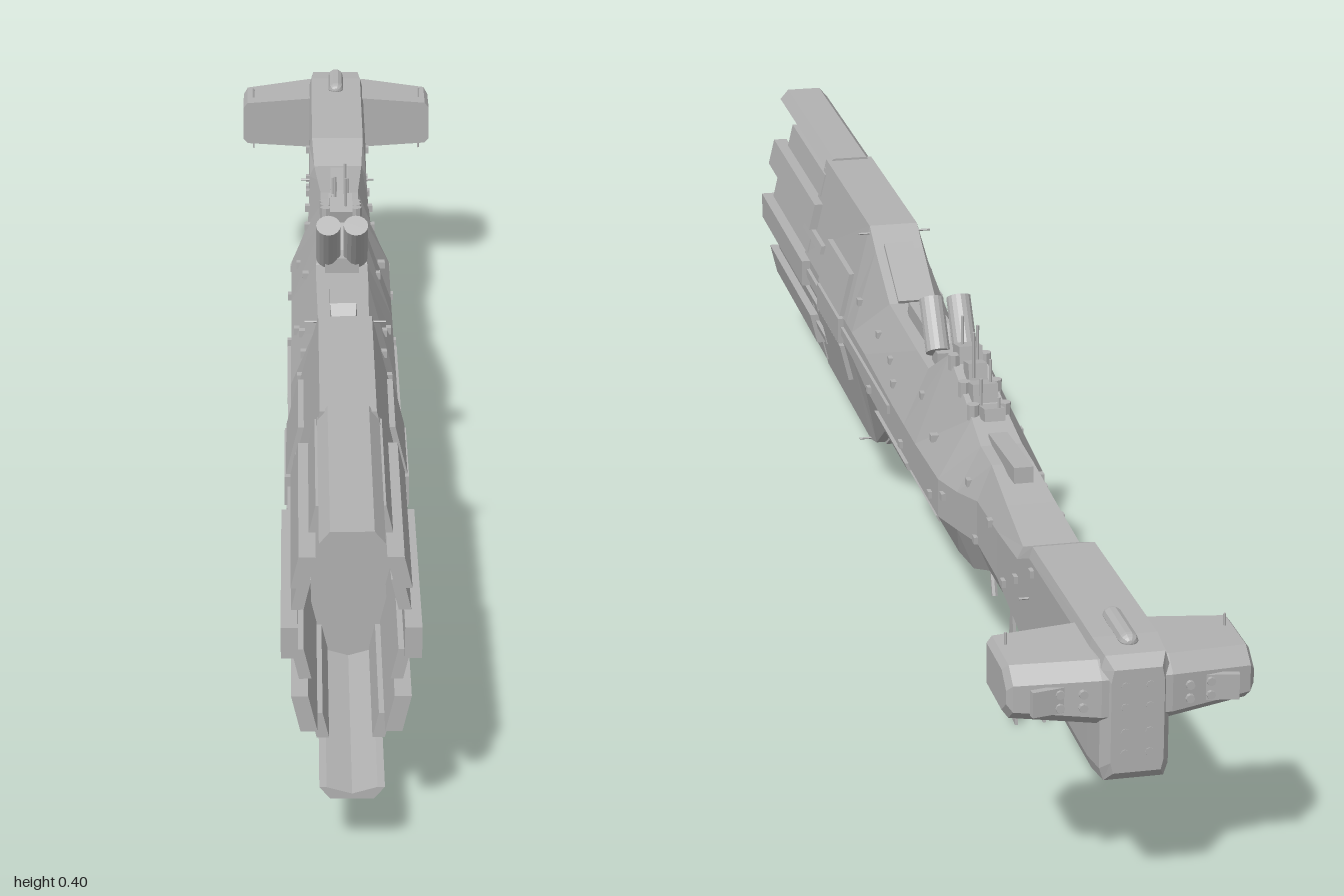
import * as THREE from 'three';

const grey = new THREE.MeshStandardMaterial({ color: 0xb2b2b2, flatShading: true });
grey.name = 'hullGrey';

// Hull stations: z, bottom y, top y, half widths (bottom, top, middle), flat side from / to
const STATIONS = [
  [0.64, 0.062, 0.375, 0.033, 0.033, 0.066, 0.2, 0.236],
  [0.32, 0.062, 0.375, 0.033, 0.033, 0.067, 0.2, 0.236],
  [0.28, 0.072, 0.352, 0.033, 0.033, 0.067, 0.2, 0.236],
  [0.19, 0.13, 0.305, 0.034, 0.032, 0.067, 0.19, 0.236],
  [0.0, 0.135, 0.305, 0.04, 0.034, 0.067, 0.185, 0.23],
  [-0.07, 0.135, 0.305, 0.04, 0.034, 0.067, 0.185, 0.23],
  [-0.14, 0.135, 0.348, 0.04, 0.022, 0.067, 0.185, 0.23],
  [-0.28, 0.135, 0.312, 0.04, 0.024, 0.067, 0.185, 0.235],
  [-0.34, 0.136, 0.298, 0.034, 0.026, 0.056, 0.19, 0.24],
  [-0.4, 0.157, 0.296, 0.028, 0.026, 0.044, 0.195, 0.25],
  [-0.5, 0.162, 0.282, 0.03, 0.03, 0.042, 0.19, 0.25],
  [-0.6, 0.16, 0.27, 0.034, 0.034, 0.041, 0.17, 0.255],
  [-0.66, 0.145, 0.294, 0.036, 0.037, 0.041, 0.16, 0.28],
  [-0.94, 0.143, 0.3, 0.036, 0.037, 0.041, 0.158, 0.285],
  [-0.985, 0.148, 0.297, 0.034, 0.034, 0.039, 0.163, 0.28],
  [-1.0, 0.162, 0.285, 0.027, 0.027, 0.03, 0.175, 0.27],
];

// Skins a row of equal cross-sections and closes both ends
function loft(rings) {
  const p = [], n = rings[0].length;
  const tri = (a, b, c) => p.push(...a, ...b, ...c);
  for (let i = 0; i < rings.length - 1; i++) {
    const a = rings[i], b = rings[i + 1];
    for (let j = 0; j < n; j++) {
      const k = (j + 1) % n;
      tri(a[j], b[j], b[k]);
      tri(a[j], b[k], a[k]);
    }
  }
  const first = rings[0], last = rings[rings.length - 1];
  for (let j = 1; j < n - 1; j++) {
    tri(first[0], first[j], first[j + 1]);
    tri(last[0], last[j + 1], last[j]);
  }
  const g = new THREE.BufferGeometry();
  g.setAttribute('position', new THREE.Float32BufferAttribute(p, 3));
  g.computeVertexNormals();
  return g;
}

function stationAt(z) {
  let i = 0;
  while (i < STATIONS.length - 2 && STATIONS[i + 1][0] > z) i++;
  const a = STATIONS[i], b = STATIONS[i + 1];
  const t = THREE.MathUtils.clamp((a[0] - z) / (a[0] - b[0]), 0, 1);
  return a.map((v, k) => v + (b[k] - v) * t);
}

// Half width of the hull at a height and z
function sideX(y, z) {
  const [, yb, yt, wb, wt, wm, yl, yu] = stationAt(z);
  if (y > yu) return wm + (wt - wm) * (y - yu) / (yt - yu);
  if (y < yl) return wm + (wb - wm) * (yl - y) / (yl - yb);
  return wm;
}

export function createModel() {
  const ship = new THREE.Group();
  ship.name = 'spaceship';
  const add = (name, geo, x = 0, y = 0, z = 0, rx = 0, rz = 0) => {
    const m = new THREE.Mesh(geo, grey);
    m.name = name;
    m.position.set(x, y, z);
    m.rotation.set(rx, 0, rz);
    ship.add(m);
    return m;
  };
  const box = (name, w, h, d, x, y, z, rx = 0, rz = 0) =>
    add(name, new THREE.BoxGeometry(w, h, d), x, y, z, rx, rz);
  const rod = (name, r, h, x, y, z, rx = 0, rz = 0, sides = 6) =>
    add(name, new THREE.CylinderGeometry(r, r, h, sides), x, y, z, rx, rz);

  // Slab that follows the slope of the hull side, made on both sides
  const sidePlate = (name, y0, y1, z0, z1, inner, outer) => {
    const zm = Math.min((z0 + z1) / 2, 0.64);
    for (const s of [1, -1]) {
      const a = sideX(y0, zm), b = sideX(y1, zm);
      const shape = new THREE.Shape([[a + inner, y0], [a + outer, y0], [b + outer, y1], [b + inner, y1]]
        .map(([x, y]) => new THREE.Vector2(s * x, y)));
      add(name, new THREE.ExtrudeGeometry(shape, { depth: z1 - z0, bevelEnabled: false }), 0, 0, z0);
    }
  };

  // Main hull
  add('hull', loft(STATIONS.map(([z, yb, yt, wb, wt, wm, yl, yu]) => [
    [wb, yb, z], [wm, yl, z], [wm, yu, z], [wt, yt, z],
    [-wt, yt, z], [-wm, yu, z], [-wm, yl, z], [-wb, yb, z],
  ])));

  // Bow blades, thin bent plates along the top and bottom
  for (const [name, y, d] of [['topBlade', 0.378, -1], ['bottomBlade', 0.06, 1]]) {
    const pts = [[-0.036, y + d * 0.014], [-0.024, y], [0.024, y], [0.036, y + d * 0.014],
      [0.028, y + d * 0.014], [0, y + d * 0.006], [-0.028, y + d * 0.014]];
    const shape = new THREE.Shape(pts.map(([x, v]) => new THREE.Vector2(x, v)));
    add(name, new THREE.ExtrudeGeometry(shape, { depth: 0.37, bevelEnabled: false }), 0, 0, 0.63);
  }

  // Bow prongs: three long outer ones and shorter inner ones per side
  for (const [y0, y1] of [[0.283, 0.32], [0.199, 0.236], [0.11, 0.153]])
    sidePlate('longProng', y0, y1, 0.6, 0.935, -0.007, 0.012);
  for (const [y0, y1, z1] of [[0.326, 0.358, 0.88], [0.242, 0.278, 0.9], [0.158, 0.194, 0.9], [0.076, 0.106, 0.88]])
    sidePlate('shortProng', y0, y1, 0.62, z1, -0.012, 0.002);

  // Raised side armour and framed square panel
  sidePlate('sideRail', 0.212, 0.224, 0.02, 0.6, -0.004, 0.004);
  sidePlate('upperPanel', 0.24, 0.3, 0.34, 0.5, -0.004, 0.007);
  sidePlate('middlePanel', 0.2, 0.236, 0.34, 0.5, -0.004, 0.008);
  sidePlate('lowerPanel', 0.145, 0.196, 0.34, 0.5, -0.004, 0.007);
  for (const y of [0.268, 0.182, 0.132]) sidePlate('sideStrip', y, y + 0.012, 0.53, 0.66, -0.004, 0.006);
  sidePlate('loadingStrip', 0.178, 0.188, -0.1, 0.1, -0.004, 0.005);
  sidePlate('bellyRail', 0.145, 0.153, -0.2, 0.12, -0.004, 0.003);

  // Small hatches dotted over the sides
  for (const [z, y] of [[0.28, 0.28], [0.17, 0.27], [0.15, 0.2], [0.08, 0.265], [0.03, 0.25], [-0.06, 0.2], [-0.1, 0.28],
    [-0.2, 0.26], [-0.24, 0.2], [-0.3, 0.22], [-0.36, 0.26], [-0.4, 0.2], [-0.47, 0.25], [-0.54, 0.2],
    [-0.6, 0.23], [-0.68, 0.27], [-0.68, 0.18], [-0.76, 0.2], [-0.82, 0.165]])
    for (const s of [1, -1]) box('hatch', 0.01, 0.009, 0.011, s * sideX(y, z), y, z);

  // Deck plates and spine housings
  box('slopePlate', 0.04, 0.008, 0.11, 0, 0.331, 0.238, -0.48);
  box('bellySlopePlate', 0.04, 0.008, 0.1, 0, 0.099, 0.238, 0.56);
  add('spineHousing', loft([[0.16, 0.3, 0.014], [0.135, 0.325, 0.017], [0.04, 0.325, 0.017], [0.015, 0.3, 0.014]]
    .map(([z, y, w]) => [[w, 0.295, z], [w, y, z], [-w, y, z], [-w, 0.295, z]])));
  box('bellySlab', 0.045, 0.014, 0.2, 0, 0.131, 0.0);
  box('rearSpine', 0.024, 0.02, 0.14, 0, 0.3, -0.39, 0.05);

  // Twin launch tubes pointing up and forward
  box('tubeMount', 0.045, 0.03, 0.035, 0, 0.31, -0.055);
  for (const s of [1, -1]) rod('launchTube', 0.016, 0.072, s * 0.018, 0.35, -0.033, 0.62, 0, 16);

  // Bridge deck with masts
  for (const [z, y, w, h, d] of [[-0.15, 0.352, 0.03, 0.022, 0.04], [-0.195, 0.342, 0.024, 0.026, 0.03],
    [-0.235, 0.33, 0.032, 0.024, 0.035], [-0.285, 0.32, 0.026, 0.016, 0.04]])
    box('bridgeBlock', w, h, d, 0, y, z, 0.2);
  for (const [x, z, y, h] of [[0.006, -0.145, 0.375, 0.05], [-0.008, -0.17, 0.37, 0.05], [0.006, -0.21, 0.37, 0.06],
    [-0.01, -0.235, 0.352, 0.04], [0.01, -0.27, 0.34, 0.04], [-0.006, -0.3, 0.33, 0.03]])
    rod('mast', 0.0022, h, x, y, z);
  for (const s of [1, -1]) for (const z of [-0.16, -0.22, -0.27])
    rod('deckTurret', 0.008, 0.02, s * 0.02, 0.33 + (z + 0.22) * 0.25, z, 0, 0, 8);

  // Belly sensors
  for (const [x, z] of [[-0.015, -0.365], [0.015, -0.365], [0, -0.385]])
    rod('bellySensor', 0.004, 0.045, x, 0.132, z, 0.35);
  box('bellyBlock', 0.034, 0.016, 0.12, 0, 0.157, -0.47);

  // Two hanging fins, wider at the tip
  for (const x of [0.016, -0.019]) {
    const shape = new THREE.Shape([[0.488, 0.165], [0.495, 0.165], [0.515, 0], [0.468, 0.006]]
      .map(([z, y]) => new THREE.Vector2(z, y)));
    const fin = add('hangingFin', new THREE.ExtrudeGeometry(shape, { depth: 0.004, bevelEnabled: false }), x + 0.002);
    fin.rotation.y = Math.PI / 2;
  }

  // Tail wing across the stern
  const wingRing = (x, y0, y1, zr) => [
    [x, y0, -0.872], [x, y0, zr + 0.022], [x, y0 + 0.016, zr], [x, y1 - 0.016, zr], [x, y1, zr + 0.022], [x, y1, -0.872],
  ];
  add('tailWing', loft([[0.14, 0.226, 0.274, -0.968], [0.134, 0.219, 0.282, -0.976], [0.04, 0.213, 0.289, -0.997],
    [-0.04, 0.213, 0.289, -0.997], [-0.134, 0.219, 0.282, -0.976], [-0.14, 0.226, 0.274, -0.968]]
    .map(r => wingRing(...r))));

  // Stern details: top capsule, wing masts, thruster panels
  const capsule = add('sternCapsule', new THREE.CapsuleGeometry(0.011, 0.07, 4, 10), 0, 0.3, -0.92, Math.PI / 2);
  capsule.scale.z = 0.9;
  for (const s of [1, -1]) {
    rod('wingMast', 0.0016, 0.094, s * 0.125, 0.25, -0.9);
    box('thrusterPanel', 0.065, 0.03, 0.008, s * 0.085, 0.25, -0.985).rotation.y = s * 0.19;
    for (const dx of [0.06, 0.085, 0.11]) for (const y of [0.242, 0.258])
      rod('thruster', 0.005, 0.01, s * dx, y, -0.993 + (dx - 0.06) * 0.2, Math.PI / 2, 0, 8);
    for (const y of [0.185, 0.21, 0.24, 0.265])
      rod('sternThruster', 0.005, 0.006, s * 0.014, y, -0.998, Math.PI / 2, 0, 8);
    // Thin spikes on the shoulders and flanks
    for (const y of [0.366, 0.066]) rod('shoulderSpike', 0.0015, 0.022, s * 0.039, y, 0.315, 0, Math.PI / 2);
    rod('flankSpike', 0.0015, 0.016, s * 0.045, 0.23, -0.66, 0, Math.PI / 2);
  }
  return ship;
}
